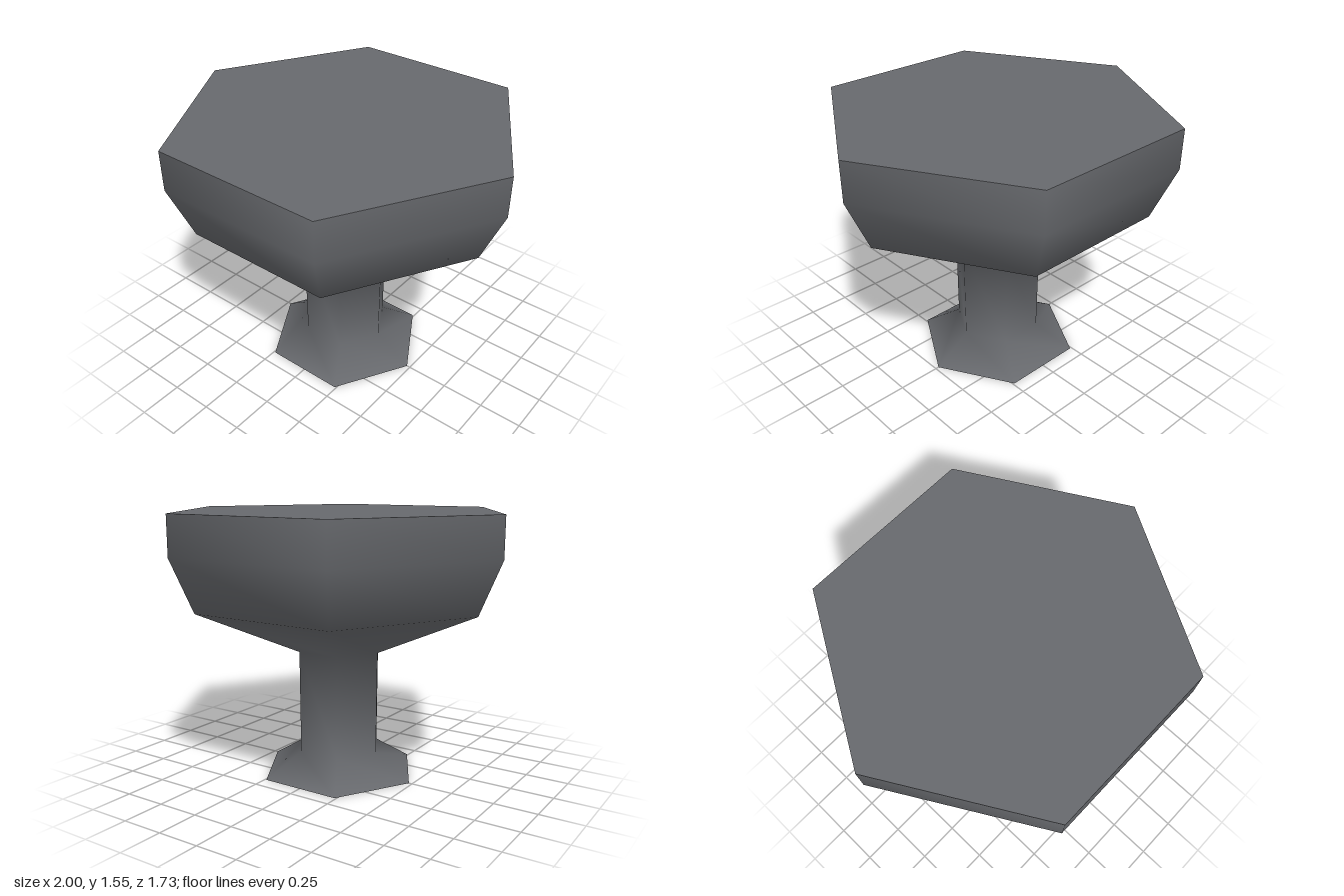
import * as THREE from 'three';

export function createModel() {
  const model = new THREE.Group();
  model.name = 'hexagonalPedestal';

  const stone = new THREE.MeshStandardMaterial({ color: 0x67696d, side: THREE.DoubleSide });
  stone.name = 'slate grey';

  const SIDES = 6;
  const TOP = 1.55;

  // Six-sided smooth shell, open underneath: flared foot, stem and bowl
  const profile = [
    [0.48, 0],
    [0.255, 0.14],
    [0.26, 0.745],
    [0.87, 1.015],
    [1, 1.32],
    [1, TOP],
  ].map(([r, y]) => new THREE.Vector2(r, y));
  const body = new THREE.Mesh(new THREE.LatheGeometry(profile, SIDES, Math.PI / 2), stone);
  body.name = 'footStemAndBowl';
  model.add(body);

  // Flat top with a sharp rim
  const top = new THREE.Mesh(new THREE.CircleGeometry(1, SIDES).rotateX(-Math.PI / 2), stone);
  top.name = 'flatTop';
  top.position.y = TOP;
  model.add(top);

  return model;
}
